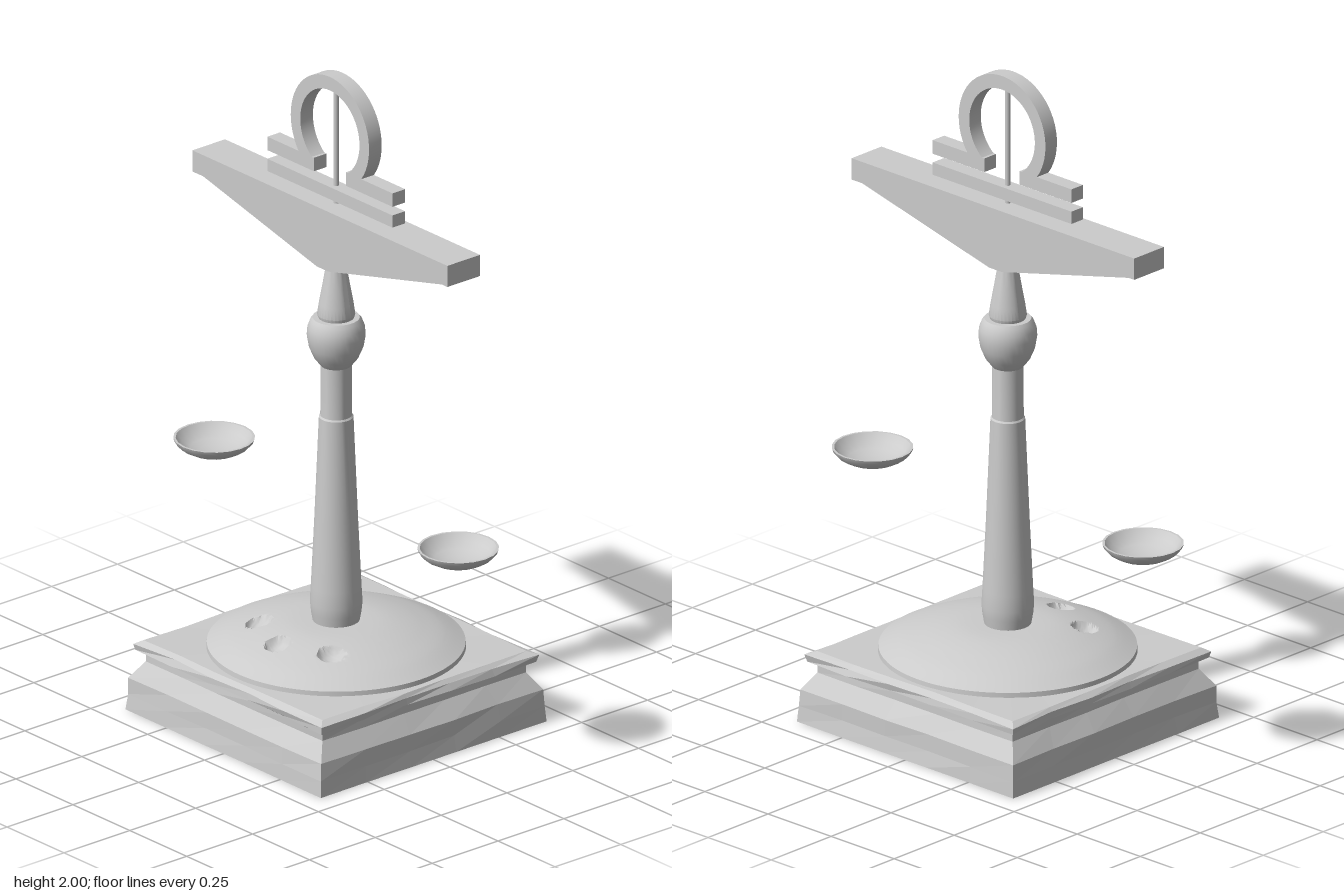
import * as THREE from 'three';
import { toCreasedNormals } from 'three/addons/utils/BufferGeometryUtils.js';

const smooth = new THREE.MeshStandardMaterial({ color: 0xcccccc });
const facet = new THREE.MeshStandardMaterial({ color: 0xcccccc, flatShading: true });
const open = new THREE.MeshStandardMaterial({ color: 0xcccccc, side: THREE.DoubleSide });

function add(parent, name, geometry, material = smooth, x = 0, y = 0, z = 0) {
  const mesh = new THREE.Mesh(geometry, material);
  mesh.name = name;
  mesh.position.set(x, y, z);
  parent.add(mesh);
  return mesh;
}

const vectors = (pairs) => pairs.map(([a, b]) => new THREE.Vector2(a, b));
const turned = (pairs, sides = 32) =>
  toCreasedNormals(new THREE.LatheGeometry(vectors(pairs), sides), 0.5);

function seeded(seed) {
  return () => {
    seed = (seed * 16807) % 2147483647;
    return seed / 2147483647;
  };
}

// Outline swept along z, centred on z = 0
function slab(shape, depth, segments = 24) {
  const g = new THREE.ExtrudeGeometry(shape, { depth, bevelEnabled: false, curveSegments: segments });
  return g.translate(0, 0, -depth / 2);
}

// Square plinth from levels [half width, height, wear], with worn edges
function plinthGeometry(levels, perSide = 5) {
  const random = seeded(41);
  const corners = [[1, 1], [1, -1], [-1, -1], [-1, 1]];
  const count = perSide * 4;
  const positions = [];
  const index = [];
  for (const [half, y, wear] of levels) {
    for (let i = 0; i < count; i++) {
      const side = Math.floor(i / perSide);
      const t = (i % perSide) / perSide;
      const a = corners[side];
      const b = corners[(side + 1) % 4];
      const h = half - wear * random();
      positions.push(
        h * (a[0] + (b[0] - a[0]) * t),
        y - wear * 0.3 * random(),
        h * (a[1] + (b[1] - a[1]) * t));
    }
  }
  for (let l = 0; l < levels.length - 1; l++) {
    for (let i = 0; i < count; i++) {
      const a = l * count + i;
      const b = l * count + (i + 1) % count;
      index.push(a, b, b + count, a, b + count, a + count);
    }
  }
  // Caps
  const bottom = positions.length / 3;
  const last = (levels.length - 1) * count;
  positions.push(0, levels[0][1], 0, 0, levels[levels.length - 1][1], 0);
  for (let i = 0; i < count; i++) {
    const j = (i + 1) % count;
    index.push(bottom, j, i, bottom + 1, last + i, last + j);
  }
  const g = new THREE.BufferGeometry();
  g.setAttribute('position', new THREE.Float32BufferAttribute(positions, 3));
  g.setIndex(index);
  g.computeVertexNormals();
  return g;
}

// Low dome with three round hollows pressed into its front
function domeGeometry() {
  const curve = new THREE.SplineCurve(vectors([
    [0.372, 0.232], [0.31, 0.26], [0.25, 0.279], [0.2, 0.291], [0.15, 0.299], [0.1, 0.302], [0.03, 0.302],
  ]));
  const profile = [new THREE.Vector2(0.375, 0.2), ...curve.getPoints(60)];
  const g = new THREE.LatheGeometry(profile, 144);
  const p = g.attributes.position;
  const radius = 0.038;
  for (const [x, z] of [[-0.158, 0.155], [0, 0.221], [0.158, 0.155]]) {
    for (let i = 0; i < p.count; i++) {
      const d = Math.hypot(p.getX(i) - x, p.getZ(i) - z) / radius;
      if (d < 1) p.setY(i, p.getY(i) - 0.027 * Math.sqrt(1 - d * d));
    }
  }
  return toCreasedNormals(g, 0.6);
}

// Ring with a gap at its foot, as one outline
function openRingShape(outer, inner, gap) {
  const s = new THREE.Shape();
  const start = -Math.PI / 2 + gap;
  const end = Math.PI * 1.5 - gap;
  s.absarc(0, 0, outer, start, end, false);
  s.absarc(0, 0, inner, end, start, true);
  s.closePath();
  return s;
}

export function createModel() {
  const model = new THREE.Group();
  model.name = 'balanceScale';

  // Base
  const base = new THREE.Group();
  base.name = 'base';
  model.add(base);
  add(base, 'plinth', plinthGeometry([
    [0.43, 0, 0.002], [0.428, 0.05, 0.008], [0.425, 0.1, 0.006],
    [0.388, 0.152, 0.003], [0.388, 0.177, 0.003],
    [0.414, 0.188, 0.01], [0.414, 0.208, 0.012], [0.395, 0.219, 0.008],
  ]), facet);
  add(base, 'dome', domeGeometry());

  // Column
  const column = new THREE.Group();
  column.name = 'column';
  model.add(column);
  add(column, 'shaft', turned([
    [0.066, 0.29], [0.073, 0.33], [0.076, 0.36], [0.073, 0.41], [0.063, 0.62],
    [0.05, 0.935], [0.046, 0.94], [0.045, 1.1],
  ]));
  add(column, 'knob', turned([
    [0, 1.095], [0.045, 1.096], [0.065, 1.122], [0.079, 1.155], [0.085, 1.19],
    [0.083, 1.215], [0.075, 1.236], [0.068, 1.245], [0, 1.245],
  ]));
  add(column, 'neck', turned([
    [0.05, 1.24], [0.055, 1.255], [0.05, 1.29], [0.04, 1.345], [0.029, 1.41], [0, 1.415],
  ]));

  // Beam with its tapered underside
  const beam = new THREE.Group();
  beam.name = 'beam';
  model.add(beam);
  add(beam, 'beamBar', new THREE.BoxGeometry(1.12, 0.066, 0.124), smooth, 0, 1.568, 0);
  add(beam, 'beamTaper', slab(new THREE.Shape(vectors([
    [-0.555, 1.536], [-0.025, 1.408], [0.025, 1.408], [0.555, 1.536],
  ])), 0.104));

  // Crest
  const crest = new THREE.Group();
  crest.name = 'crest';
  model.add(crest);
  add(crest, 'crestRod', new THREE.CylinderGeometry(0.008, 0.008, 0.38, 12), smooth, 0, 1.78, 0);
  add(crest, 'crestLowerBar', new THREE.BoxGeometry(0.55, 0.038, 0.048), smooth, 0, 1.637, 0);
  add(crest, 'crestRing', toCreasedNormals(slab(openRingShape(0.172, 0.13, 0.62), 0.048), 0.5),
    smooth, 0, 1.828, 0);
  for (const side of [-1, 1]) {
    add(crest, side > 0 ? 'crestFootLeft' : 'crestFootRight',
      new THREE.BoxGeometry(0.205, 0.042, 0.048), smooth, side * 0.1725, 1.704, 0);
  }

  // Weighing pans
  const panProfile = [
    [0, 0.645], [0.04, 0.648], [0.075, 0.657], [0.1, 0.671], [0.114, 0.686], [0.118, 0.697],
    [0.111, 0.697], [0.095, 0.676], [0.07, 0.663], [0.04, 0.655], [0, 0.652],
  ];
  for (const side of [-1, 1]) {
    add(model, side > 0 ? 'leftPan' : 'rightPan', turned(panProfile, 20), open, side * 0.536, 0, 0);
  }

  return model;
}
